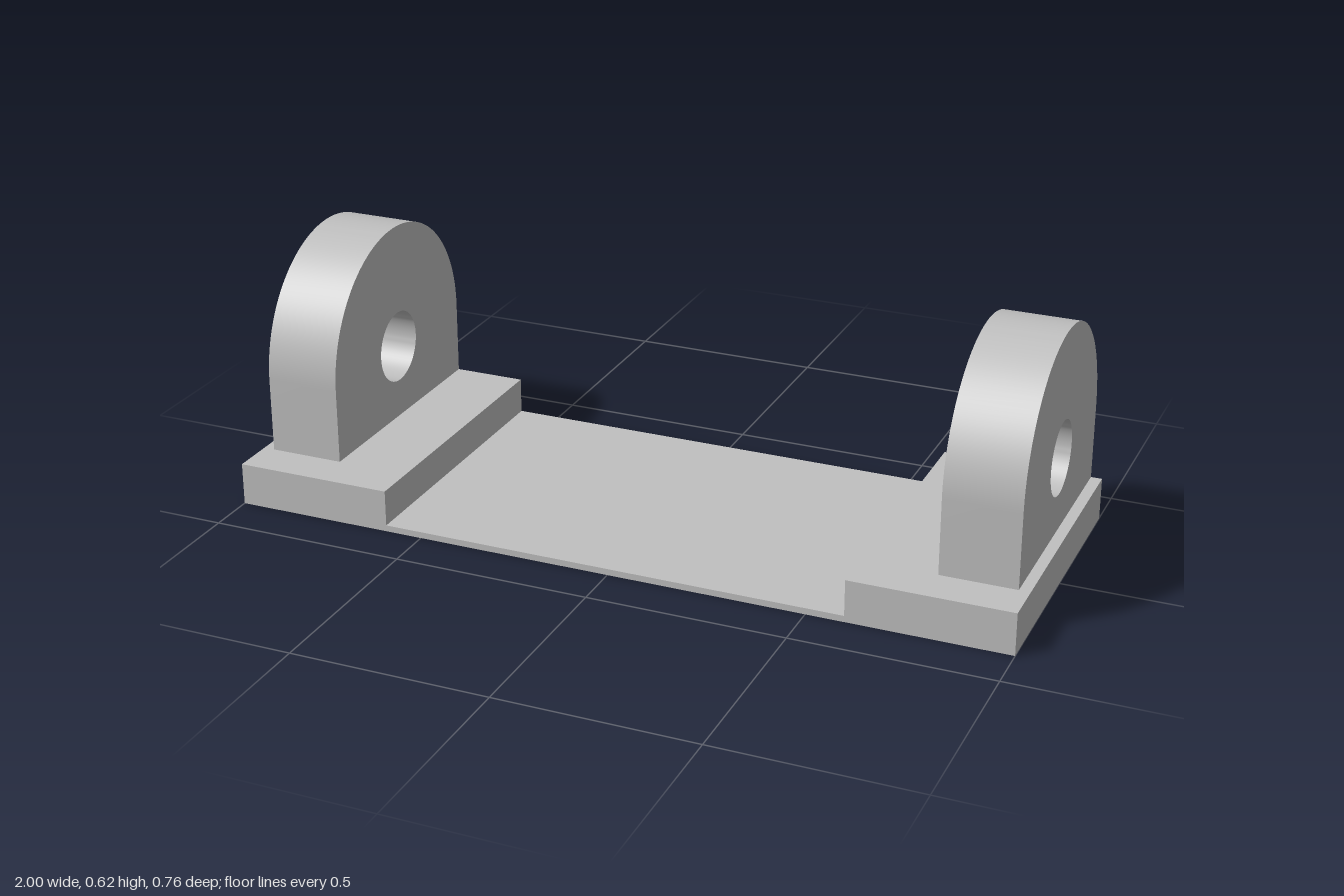
import * as THREE from 'three';
import { toCreasedNormals } from 'three/addons/utils/BufferGeometryUtils.js';

const HALF_DEPTH = 0.378; // base reaches from -z to +z
const PAD_TOP = 0.108;
const WEB_TOP = 0.016;
const PAD_INNER = 0.595;

// Base profile in x, y: a thin web between two raised pads
function baseGeometry() {
  const profile = new THREE.Shape([
    [-1, 0], [1, 0], [1, PAD_TOP], [PAD_INNER, PAD_TOP], [PAD_INNER, WEB_TOP],
    [-PAD_INNER, WEB_TOP], [-PAD_INNER, PAD_TOP], [-1, PAD_TOP],
  ].map(([x, y]) => new THREE.Vector2(x, y)));
  const geometry = new THREE.ExtrudeGeometry(profile, { depth: 2 * HALF_DEPTH, bevelEnabled: false });
  return geometry.translate(0, 0, -HALF_DEPTH);
}

// Round-topped lug with a pin hole, centred on x = 0 and flush with the back edge
function lugGeometry() {
  const radius = 0.324, holeRadius = 0.093, centreY = 0.298, width = 0.19;
  const outline = new THREE.Shape();
  outline.moveTo(-radius, PAD_TOP);
  outline.lineTo(radius, PAD_TOP);
  outline.lineTo(radius, centreY);
  outline.absarc(0, centreY, radius, 0, Math.PI, false);
  outline.closePath();
  const hole = new THREE.Path();
  hole.absarc(0, centreY, holeRadius, 0, Math.PI * 2, true);
  outline.holes.push(hole);
  const geometry = new THREE.ExtrudeGeometry(outline, { depth: width, bevelEnabled: false, curveSegments: 32 });
  geometry.translate(0, 0, -width / 2);
  geometry.rotateY(-Math.PI / 2);
  geometry.translate(0, 0, radius - HALF_DEPTH);
  return toCreasedNormals(geometry, Math.PI / 6);
}

export function createModel() {
  const model = new THREE.Group();
  model.name = 'bracket';
  const metal = new THREE.MeshStandardMaterial({ color: 0xc0c0c0 });
  metal.name = 'light grey metal';

  const base = new THREE.Mesh(baseGeometry(), metal);
  base.name = 'base';
  model.add(base);

  // One lug on each pad
  const lug = lugGeometry();
  for (const side of [-1, 1]) {
    const mesh = new THREE.Mesh(lug, metal);
    mesh.name = side > 0 ? 'leftLug' : 'rightLug';
    mesh.position.x = side * 0.877;
    model.add(mesh);
  }
  return model;
}
